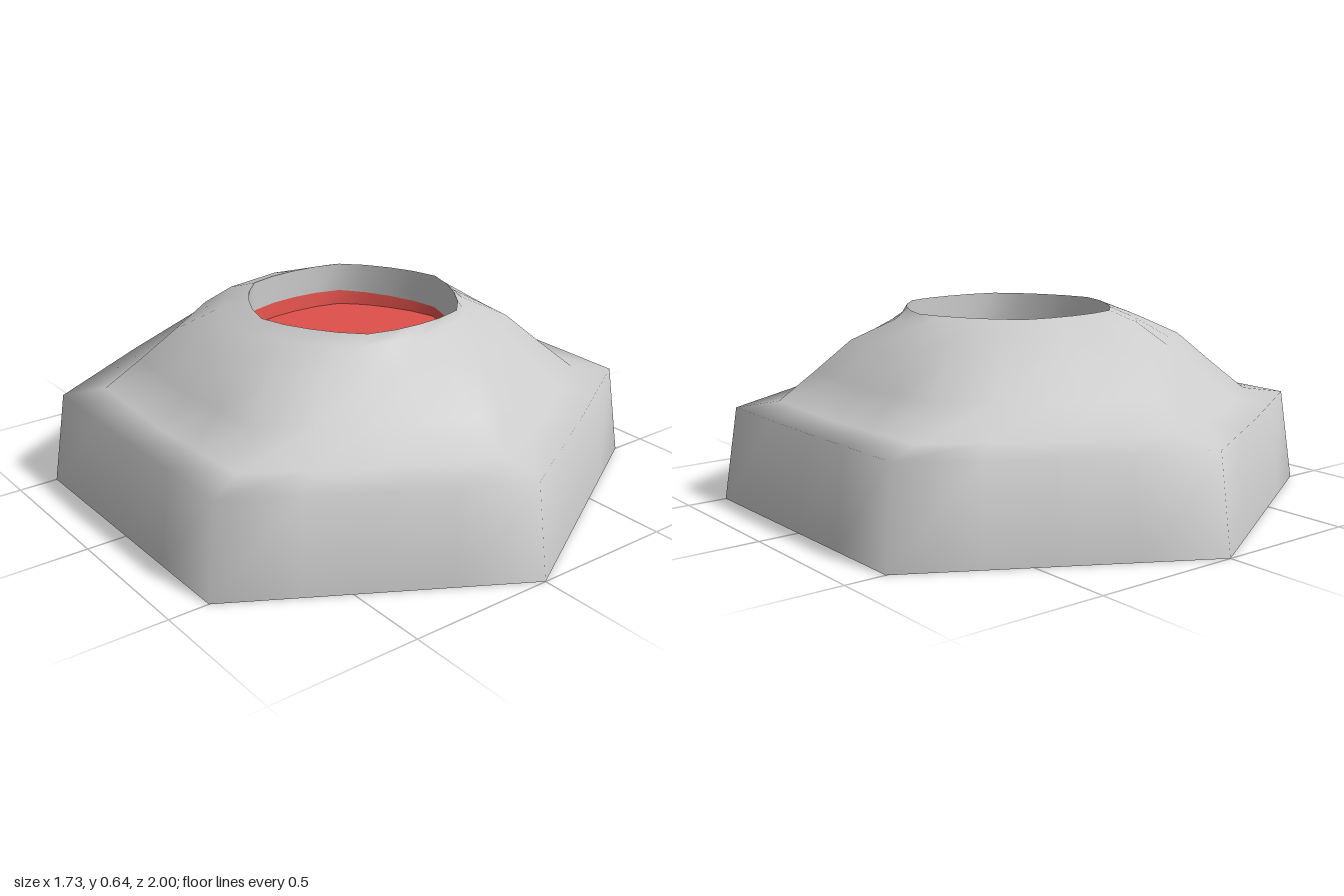
import * as THREE from 'three';

const SEGMENTS = 24; // four steps per side of the hexagon

// Ring of points around y; radius(step) gives the distance from (cx, cz)
function ring(radius, height, cx = 0, cz = 0) {
  return Array.from({ length: SEGMENTS }, (_, i) => {
    const a = (i / SEGMENTS) * Math.PI * 2;
    const r = radius(i % 4);
    const x = cx + r * Math.sin(a), z = cz + r * Math.cos(a);
    return [x, typeof height === 'function' ? height(z) : height, z];
  });
}

// Hexagon-like ring: distance at the corners, and at the middle of the sides
function hexRing(y, corner, side) {
  const between = (corner * side * 0.5) / ((corner + side) * Math.sin(Math.PI / 12));
  return ring(step => (step === 0 ? corner : step === 2 ? side : between), y);
}

// Crater outline: slightly off centre, with soft corners facing the hexagon sides
const craterRing = (height, scale = 1) =>
  ring(step => scale * (step === 2 ? 0.365 : step === 0 ? 0.345 : 0.351), height, 0.005, 0.045);

// Skin joining consecutive rings
function loft(rings) {
  const index = [];
  for (let j = 0; j < rings.length - 1; j++) {
    for (let i = 0; i < SEGMENTS; i++) {
      const n = (i + 1) % SEGMENTS;
      const a = j * SEGMENTS + i, b = j * SEGMENTS + n;
      index.push(a, b, b + SEGMENTS, a, b + SEGMENTS, a + SEGMENTS);
    }
  }
  const geometry = new THREE.BufferGeometry();
  geometry.setAttribute('position', new THREE.Float32BufferAttribute(rings.flat(2), 3));
  geometry.setIndex(index);
  geometry.computeVertexNormals();
  return geometry;
}

export function createModel() {
  const model = new THREE.Group();
  model.name = 'crater';
  const rock = new THREE.MeshStandardMaterial({ color: 0xcccccc });
  const rockInside = new THREE.MeshStandardMaterial({ color: 0xcccccc, side: THREE.DoubleSide });
  const lava = new THREE.MeshStandardMaterial({ color: 0xe0504a });

  const add = (name, geometry, material) => {
    const mesh = new THREE.Mesh(geometry, material);
    mesh.name = name;
    model.add(mesh);
  };

  // Hexagonal foot rising into a rounded mound
  add('mound', loft([
    hexRing(0, 1, 0.866),
    hexRing(0.315, 0.952, 0.832),
    hexRing(0.333, 0.81, 0.72),
    hexRing(0.43, 0.69, 0.62),
    hexRing(0.535, 0.565, 0.53),
    hexRing(0.605, 0.41, 0.425),
    craterRing(0.638),
  ]), rock);

  // Flat underside
  add('underside', loft([ring(() => 0, 0), hexRing(0, 1, 0.866)]), rock);

  // Upright crater wall, a little deeper towards the front
  const lavaEdge = z => 0.525 - 0.05 * z;
  add('craterWall', loft([craterRing(0.638), craterRing(lavaEdge)]), rockInside);

  // Lava edge and pool
  add('lavaEdge', loft([craterRing(lavaEdge), craterRing(0.49, 0.98)]), lava);
  add('lavaPool', loft([craterRing(0.49, 0.98), craterRing(0.49, 0)]), lava);

  return model;
}
